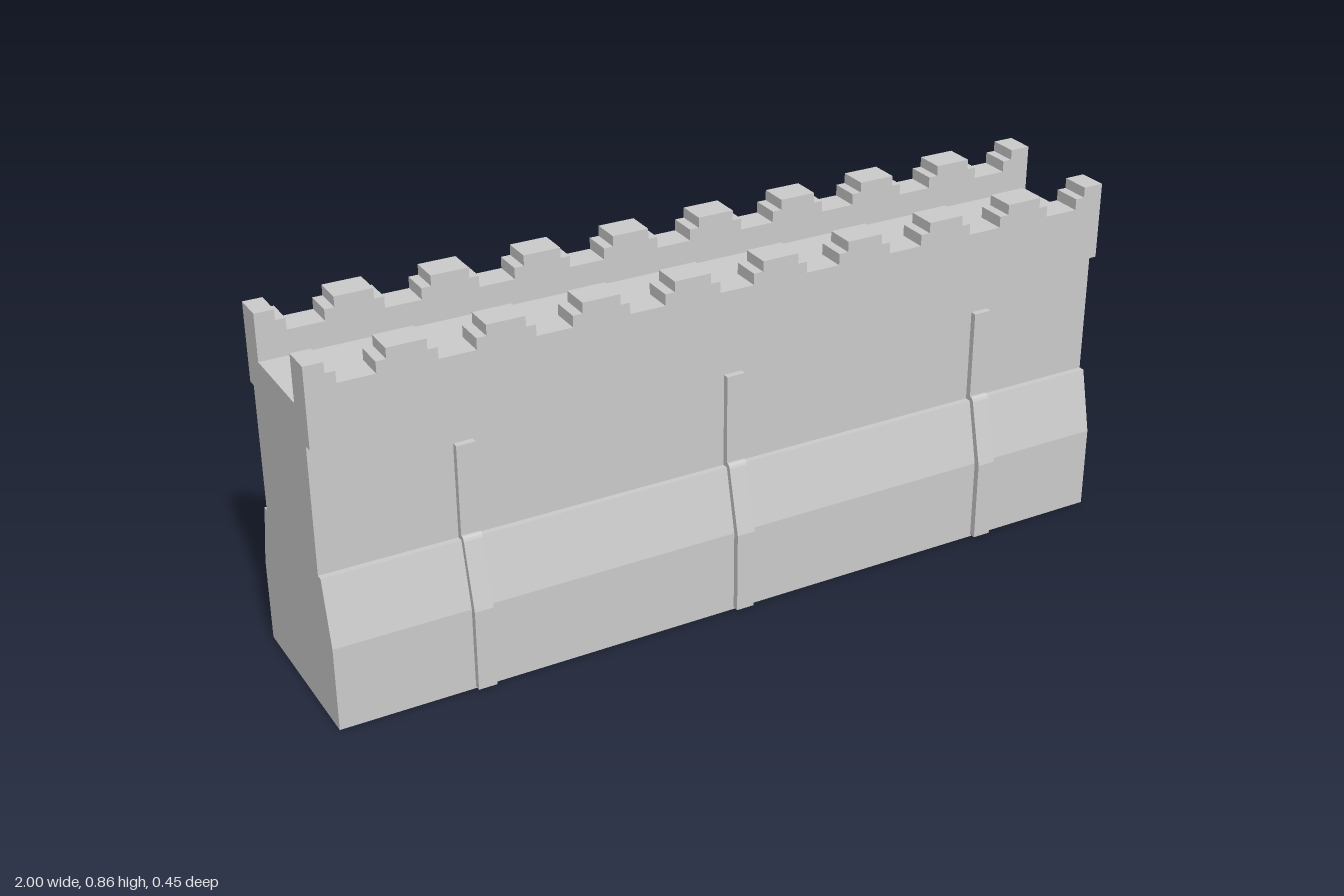
import * as THREE from 'three';

const material = new THREE.MeshStandardMaterial({ color: 0xcccccc, flatShading: true, side: THREE.DoubleSide });

function addMesh(parent, name, geometry) {
  const mesh = new THREE.Mesh(geometry, material);
  mesh.name = name;
  parent.add(mesh);
  return mesh;
}

const toShape = (points) => new THREE.Shape(points.map(([a, b]) => new THREE.Vector2(a, b)));

// Wall cross-section as [z, y], from the front foot up to the walkway
const halfSection = [
  [0.208, 0], [0.208, 0.205], [0.172, 0.36], [0.157, 0.36],
  [0.157, 0.667], [0.108, 0.667], [0.108, 0.743],
];
const section = [...halfSection, ...halfSection.map(([z, y]) => [-z, y]).reverse()];

// Long faces of the hollow wall; the underside stays open
function wallSides() {
  const positions = [];
  for (let i = 0; i < section.length - 1; i++) {
    const [z0, y0] = section[i];
    const [z1, y1] = section[i + 1];
    positions.push(-1, y0, z0, 1, y0, z0, 1, y1, z1);
    positions.push(-1, y0, z0, 1, y1, z1, -1, y1, z1);
  }
  const geometry = new THREE.BufferGeometry();
  geometry.setAttribute('position', new THREE.Float32BufferAttribute(positions, 3));
  geometry.computeVertexNormals();
  return geometry;
}

// Parapet with stepped merlons, cut off at both wall ends
function parapet() {
  const bottom = 0.667, low = 0.803, step = 0.83, top = 0.855;
  const halfTop = 0.045, halfStep = 0.068, pitch = 0.2215;
  const outline = [[-1, bottom], [1, bottom]];
  for (let i = 9; i >= 0; i--) {
    const c = -1 + i * pitch;
    const merlon = [
      [c + halfStep, low], [c + halfStep, step], [c + halfTop, step], [c + halfTop, top],
      [c - halfTop, top], [c - halfTop, step], [c - halfStep, step], [c - halfStep, low],
    ];
    if (i === 9) merlon.splice(0, 4, [1, top]);
    if (i === 0) merlon.splice(4, 4, [-1, top]);
    if (c - halfStep < 1) outline.push(...merlon);
  }
  return new THREE.ExtrudeGeometry(toShape(outline), { depth: 0.071, bevelEnabled: false });
}

// Thin buttress strip that follows the wall face
function buttress() {
  const width = 0.045;
  const profile = [
    [0.208, 0.005], [0.224, 0.005], [0.224, 0.205], [0.185, 0.362], [0.182, 0.368],
    [0.177, 0.372], [0.172, 0.372], [0.172, 0.589], [0.157, 0.589],
    [0.157, 0.36], [0.172, 0.36], [0.208, 0.205],
  ];
  const geometry = new THREE.ExtrudeGeometry(toShape(profile), { depth: width, bevelEnabled: false });
  return geometry.translate(0, 0, -width / 2).rotateY(-Math.PI / 2);
}

export function createModel() {
  const model = new THREE.Group();
  model.name = 'castleWall';

  // Wall body and its two ends
  const body = new THREE.Group();
  body.name = 'wallBody';
  model.add(body);
  addMesh(body, 'wallSides', wallSides());
  for (const side of [-1, 1]) {
    const end = addMesh(body, side > 0 ? 'leftEnd' : 'rightEnd', new THREE.ShapeGeometry(toShape(section)));
    end.rotation.y = side * Math.PI / 2;
    end.position.x = side;
  }

  // Parapets on either side of the walkway
  const parapetGeometry = parapet();
  addMesh(model, 'frontParapet', parapetGeometry).position.z = 0.108;
  addMesh(model, 'backParapet', parapetGeometry).position.z = -0.179;

  // Three buttresses per face, the back set turned half round
  const buttressGeometry = buttress();
  for (const [name, angle] of [['frontButtresses', 0], ['backButtresses', Math.PI]]) {
    const row = new THREE.Group();
    row.name = name;
    row.rotation.y = angle;
    for (const x of [-0.658, 0, 0.677]) addMesh(row, 'buttress', buttressGeometry).position.x = x;
    model.add(row);
  }
  return model;
}
